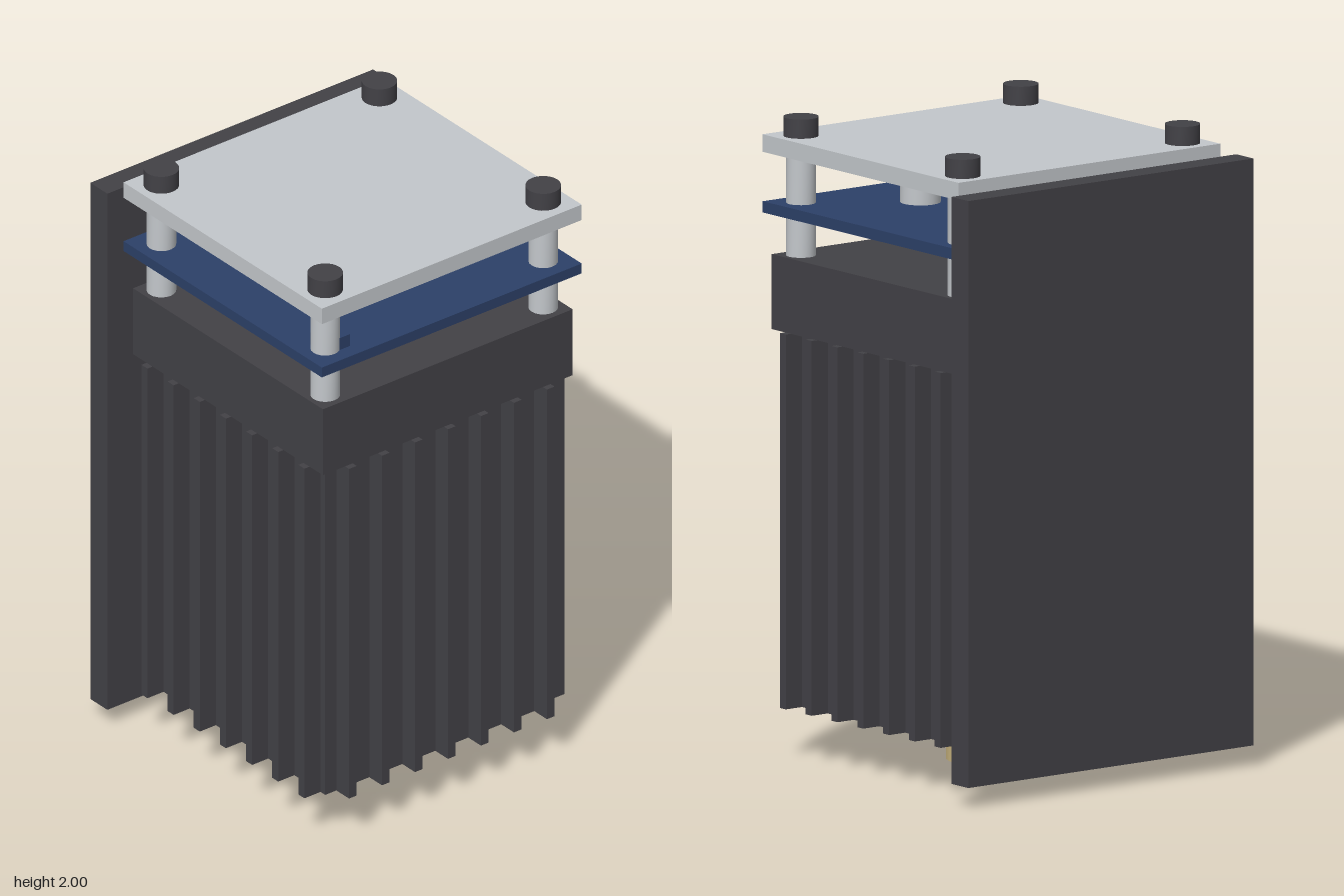
import * as THREE from 'three';
import { toCreasedNormals } from 'three/addons/utils/BufferGeometryUtils.js';

const material = (name, color) => {
  const m = new THREE.MeshStandardMaterial({ color });
  m.name = name;
  return m;
};

export function createModel() {
  const group = new THREE.Group();
  const dark = material('anodised black', 0x424146);
  const silver = material('light metal', 0xc3c7cb);
  const navy = material('board blue', 0x2c4068);
  const brass = material('brass', 0xcbb680);

  const add = (name, geometry, mat) => {
    const mesh = new THREE.Mesh(geometry, mat);
    mesh.name = name;
    group.add(mesh);
    return mesh;
  };
  // Box given by its extents on each axis
  const box = (name, mat, [x0, x1], [y0, y1], [z0, z1]) =>
    add(name, new THREE.BoxGeometry(x1 - x0, y1 - y0, z1 - z0), mat)
      .position.set((x0 + x1) / 2, (y0 + y1) / 2, (z0 + z1) / 2);
  // Upright cylinder between two heights
  const cylinder = (name, mat, r, [y0, y1], x, z, sides = 20) =>
    add(name, toCreasedNormals(new THREE.CylinderGeometry(r, r, y1 - y0, sides), 0.6), mat)
      .position.set(x, (y0 + y1) / 2, z);

  const cz = 0.055; // centre of the module, in front of the mounting plate

  // Mounting plate and its spacer
  box('mountingPlate', dark, [-0.555, 0.555], [0.065, 1.905], [-0.545, -0.46]);
  box('plateSpacer', dark, [-0.385, 0.385], [0.28, 1.2], [-0.46, -0.435]);

  // Heat sink: one extruded outline with seven fins on each side
  const core = 0.447, halfX = 0.51, halfZ = 0.49, fin = 0.015, coreZ = halfZ - (halfX - core);
  const outline = [];
  const finnedSide = (halfLength, depth, tip, angle) => {
    const put = (a, b) => outline.push(new THREE.Vector2(
      a * Math.cos(angle) - b * Math.sin(angle), a * Math.sin(angle) + b * Math.cos(angle)));
    put(-halfLength, -depth);
    for (let i = -3; i <= 3; i++) {
      const c = i * 0.1295;
      put(c - fin, -depth);
      put(c - fin, -tip);
      put(c + fin, -tip);
      put(c + fin, -depth);
    }
  };
  for (let i = 0; i < 4; i++) {
    if (i % 2) finnedSide(coreZ, core, halfX, i * Math.PI / 2);
    else finnedSide(core, coreZ, halfZ, i * Math.PI / 2);
  }
  const sink = new THREE.ExtrudeGeometry(new THREE.Shape(outline), { depth: 1.175, bevelEnabled: false });
  sink.rotateX(-Math.PI / 2);
  add('heatSink', sink, dark).position.set(0, 0.155, cz);
  box('upperHousing', dark, [-0.49, 0.49], [1.33, 1.565], [cz - 0.47, cz + 0.47]);

  // Nozzle under the body
  cylinder('nozzle', brass, 0.14, [0, 0.155], 0, cz, 24);

  // Circuit board and cover plate
  box('circuitBoard', navy, [-0.51, 0.51], [1.695, 1.73], [-0.437, 0.545]);
  box('coverPlate', silver, [-0.51, 0.51], [1.885, 1.94], [-0.437, 0.545]);

  // Standoffs and bolt heads at the four corners
  for (const x of [-0.428, 0.428]) {
    for (const z of [-0.353, 0.458]) {
      cylinder('lowerStandoff', silver, 0.046, [1.565, 1.695], x, z);
      cylinder('upperStandoff', silver, 0.046, [1.73, 1.885], x, z);
      cylinder('boltHead', dark, 0.055, [1.94, 2], x, z, 24);
    }
  }

  // Parts on the board
  for (const [x, z] of [[-0.177, 0.243], [-0.022, 0.187], [0.13, 0.243]]) {
    cylinder('capacitor', silver, 0.063, [1.73, 1.855], x, z);
  }
  box('chip', dark, [-0.085, 0.085], [1.73, 1.812], [-0.16, 0.01]);
  box('connector', silver, [0.21, 0.385], [1.73, 1.875], [-0.345, -0.225]);
  box('smallPlug', navy, [-0.45, -0.36], [1.73, 1.772], [0.41, 0.495]);

  return group;
}
